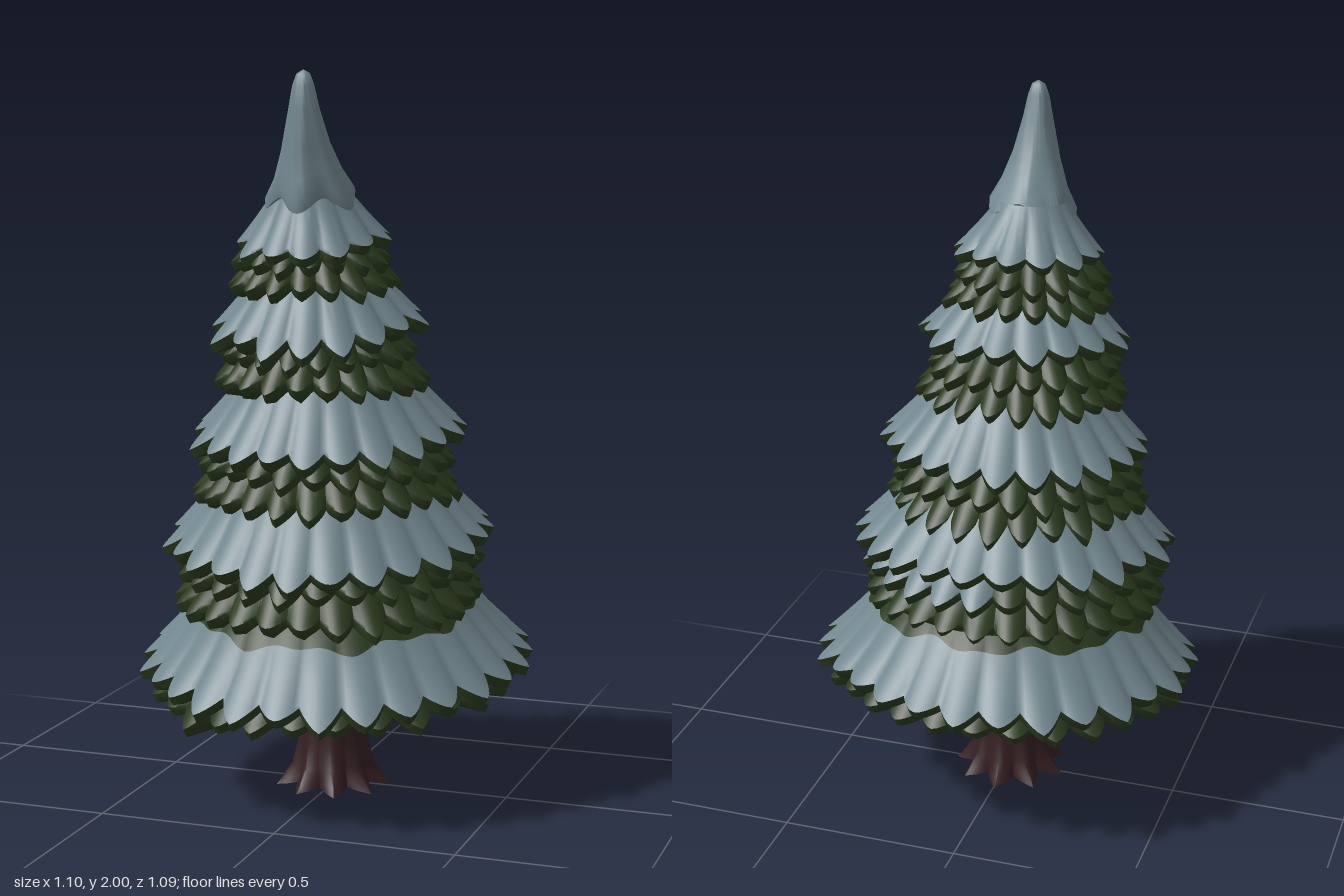
import * as THREE from 'three';
import { toCreasedNormals } from 'three/addons/utils/BufferGeometryUtils.js';

const material = (name, color) => {
  const m = new THREE.MeshStandardMaterial({ color });
  m.name = name;
  return m;
};

// Closed ring surface: point(row, angle) from top to bottom, paint(row, angle) gives a material index
function loft(rows, cols, point, paint = () => 0) {
  const positions = [], faces = [[], []];
  for (let i = 0; i < rows; i++)
    for (let j = 0; j < cols; j++) positions.push(...point(i, (j / cols) * Math.PI * 2));
  for (let i = 0; i < rows - 1; i++)
    for (let j = 0; j < cols; j++) {
      const k = (j + 1) % cols;
      const a = i * cols + j, b = i * cols + k, c = a + cols, d = b + cols;
      faces[paint(i, ((j + 0.5) / cols) * Math.PI * 2)].push(a, c, d, a, d, b);
    }
  const geo = new THREE.BufferGeometry();
  geo.setAttribute('position', new THREE.Float32BufferAttribute(positions, 3));
  geo.setIndex([...faces[0], ...faces[1]]);
  geo.addGroup(0, faces[0].length, 0);
  geo.addGroup(faces[0].length, faces[1].length, 1);
  return toCreasedNormals(geo, 0.9);
}

// Repeatable per-leaf variation in 0..1
const vary = (n) => {
  const s = Math.sin(n * 127.1 + 11.7) * 43758.5453;
  return s - Math.floor(s);
};

// Skirt of pointed leaves with a thin lip and a closed underside; snowy ones droop at the front
function tier(t, index) {
  const { y, r, x = 0, z, tilt, leaves, snow, droop = 0, sag = 0, inner = r - 0.12 } = t;
  const { depth = snow ? 0.21 : 0.18, spread = snow ? 0.19 : 0.13 } = t;
  const gap = snow ? 0.24 : 0.28, puff = snow ? 0.014 : 0.02;
  const steps = [0, 0.25, 0.5, 0.75, 0.9, 1];
  const point = (row, a) => {
    const turn = a + index * 0.37;
    const front = Math.cos(turn);
    const phase = (a / (Math.PI * 2)) * leaves;
    const leaf = Math.floor(phase + 1e-6);
    const s = Math.min(1, Math.abs(2 * (phase - leaf) - 1)); // 0 on the leaf spine, 1 in the gap
    const length = 1 - gap * s ** 1.3 - 0.14 * (1 - s) * vary(leaf + index * 40);
    let v = steps[Math.min(row, 5)];
    if (row === 1) v += 0.04 * front - 0.04 + 0.04 * Math.sin(a * 9 + index) + 0.03 * Math.sin(a * 17);
    v *= 1 + (length - 1) * v * v;
    const bulge = puff * (1 - s * s) * v - 0.014 * v;
    let radius = r - spread + spread * v ** 1.15 + bulge;
    let h = y + depth * (1 - v) + bulge * 0.7;
    if (row === 6) { radius -= 0.012; h -= 0.024; }
    if (row === 7) {
      radius = THREE.MathUtils.lerp(radius, inner, 0.5);
      h = y + 0.02 - 0.035 * (1 - s);
    }
    if (row === 8) { radius = inner; h = y + 0.06; }
    const dz = front * radius;
    const lump = sag * v * Math.max(0, Math.cos(turn + 0.65)) ** 12;
    return [x + Math.sin(turn) * radius, h - dz * tilt - droop * v * Math.max(0, front) - lump, z + dz + 0.02 * (1 - v)];
  };
  const paint = (row, a) => {
    const turn = (a + index * 0.37) % (Math.PI * 2);
    const covered = snow || (t.drift && turn > t.drift[0] && turn < t.drift[1]);
    return covered && row >= (t.bareTop ? 1 : 0) && row < 5 ? 1 : 0;
  };
  return loft(9, leaves * 8, point, paint);
}

export function createModel() {
  const needles = material('needleGreen', 0x2b3a1d);
  const snowMat = material('snow', 0x71868e);
  const bark = material('bark', 0x351f22);
  const tree = new THREE.Group();
  tree.name = 'snowyTree';
  const add = (name, geo, mat) => {
    const mesh = new THREE.Mesh(geo, mat);
    mesh.name = name;
    tree.add(mesh);
  };

  // Trunk flaring into pointed roots
  const trunkRows = [[0.45, 0.088], [0.25, 0.09], [0.13, 0.098], [0.06, 0.112], [0.02, 0.132], [0, 0.143], [0.012, 0.001]];
  add('trunk', loft(trunkRows.length, 72, (i, a) => {
    const [y, r] = trunkRows[i];
    const flare = i < 6 ? Math.max(0, (r - 0.09) / 0.053) : 0;
    const root = Math.abs(((a / (Math.PI * 2)) * 9 % 1) * 2 - 1);
    const radius = r * (1 + flare * (0.14 - 0.36 * root));
    return [Math.sin(a) * radius - 0.005, y + 0.015 * flare * root, 0.015 + Math.cos(a) * radius];
  }), [bark, bark]);

  // Leaning core that closes the gaps between tiers
  const coreRows = [[1.6, 0.001, 0.14], [1.58, 0.08, 0.14], [0.42, 0.34, 0.03], [0.42, 0.001, 0.03]];
  add('core', loft(coreRows.length, 24, (i, a) => {
    const [y, r, z] = coreRows[i];
    return [Math.sin(a) * r, y, z + Math.cos(a) * r];
  }), [needles, needles]);

  // Bough tiers, bottom to top: rim height, radius, shift, tilt, leaf count
  const tiers = [
    { y: 0.32, r: 0.525, z: 0, tilt: 0.1, leaves: 28, inner: 0.07, sag: 0.045 },
    { y: 0.37, r: 0.56, z: 0, tilt: 0.1, leaves: 28, snow: true, bareTop: true, droop: 0.02 },
    { y: 0.555, r: 0.435, z: 0.05, tilt: 0.08, leaves: 27 },
    { y: 0.645, r: 0.43, z: 0.055, tilt: 0.08, leaves: 26, drift: [1.95, 3.3] },
    { y: 0.725, r: 0.47, z: 0.055, tilt: 0.09, leaves: 25, snow: true, droop: 0.045 },
    { y: 0.845, r: 0.375, x: -0.005, z: 0.065, tilt: 0.05, leaves: 25 },
    { y: 0.925, r: 0.36, x: -0.005, z: 0.07, tilt: 0.05, leaves: 24 },
    { y: 1.015, r: 0.395, z: 0.06, tilt: 0.05, leaves: 22, snow: true, droop: 0.05 },
    { y: 1.155, r: 0.3, x: -0.01, z: 0.095, tilt: 0.05, leaves: 21 },
    { y: 1.225, r: 0.28, x: -0.015, z: 0.1, tilt: 0.05, leaves: 20 },
    { y: 1.315, r: 0.31, x: -0.01, z: 0.11, tilt: 0.05, leaves: 17, snow: true, droop: 0.06 },
    { y: 1.415, r: 0.24, x: -0.02, z: 0.12, tilt: 0.06, leaves: 17 },
    { y: 1.475, r: 0.225, x: -0.025, z: 0.125, tilt: 0.06, leaves: 16 },
    { y: 1.545, r: 0.22, x: -0.015, z: 0.145, tilt: 0.08, leaves: 13, snow: true, droop: 0.04, depth: 0.15, spread: 0.125 },
  ];
  tiers.forEach((t, i) => add(t.snow ? 'snowyBoughs' : 'greenBoughs', tier(t, i), [needles, snowMat]));

  // Drooping snow cap leaning forward: height, radius, forward shift
  const capRows = [[2, 0.001, 0.26], [1.99, 0.018, 0.26], [1.96, 0.029, 0.259], [1.9, 0.041, 0.252], [1.8, 0.065, 0.235],
    [1.73, 0.09, 0.21], [1.68, 0.118, 0.19], [1.655, 0.114, 0.19], [1.68, 0.001, 0.19]];
  add('snowCap', loft(capRows.length, 60, (i, a) => {
    const [y, r, z] = capRows[i];
    const lobe = (i > 0 && i < 8 ? i / 7 : 0) * Math.cos(a * 5);
    const radius = r * (1 + 0.1 * lobe);
    const dz = Math.cos(a) * radius;
    return [Math.sin(a) * radius, y - 0.018 * lobe * (i > 3 ? 1 : 0) - dz * 0.08, z + dz];
  }), [snowMat, snowMat]);

  return tree;
}
